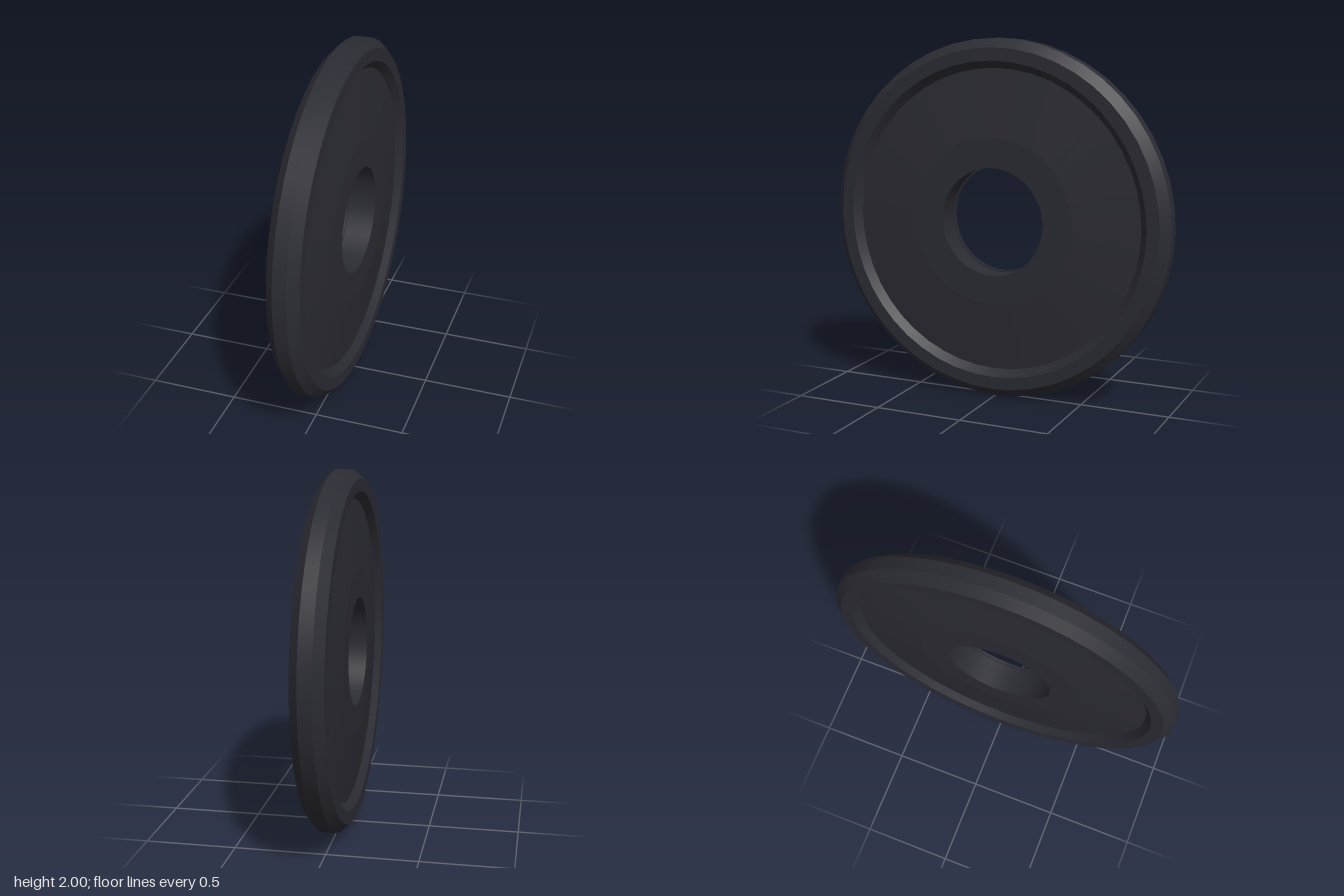
import * as THREE from 'three';
import { mergeGeometries } from 'three/addons/utils/BufferGeometryUtils.js';

const SEGMENTS = 48;

// Revolve a profile of [radius, x] points about the x axis.
// Each band is its own lathe: smooth around, sharp between bands.
function revolve(profile) {
  const bands = [];
  for (let i = 0; i < profile.length - 1; i++) {
    const pts = [profile[i], profile[i + 1]].map(([r, x]) => new THREE.Vector2(r, x));
    bands.push(new THREE.LatheGeometry(pts, SEGMENTS));
  }
  return mergeGeometries(bands).rotateZ(-Math.PI / 2);
}

export function createModel() {
  const model = new THREE.Group();
  model.name = 'weightPlate';
  const rubber = new THREE.MeshStandardMaterial({ color: 0x2b2b33 });
  rubber.name = 'darkRubber';

  const add = (name, profile) => {
    const mesh = new THREE.Mesh(revolve(profile), rubber);
    mesh.name = name;
    mesh.position.y = 1;
    model.add(mesh);
  };

  const W = 0.087; // half thickness
  const D = 0.048; // half thickness at the bottom of the dish

  // Outer rim with chamfered edges and sloped inner walls
  add('rim', [
    [0.84, -D], [0.88, -W], [0.95, -W], [1, -0.037],
    [1, 0.037], [0.95, W], [0.88, W], [0.84, D],
  ]);

  // Shallow cone on each side, from the rim up to the hub
  add('leftDish', [[0.84, D], [0.467, W]]);
  add('rightDish', [[0.467, -W], [0.84, -D]]);

  // Flat hub with a slightly recessed bore
  add('hub', [
    [0.467, W], [0.3, W], [0.3, 0.07], [0.31, 0.07],
    [0.31, -0.07], [0.3, -0.07], [0.3, -W], [0.467, -W],
  ]);

  return model;
}
